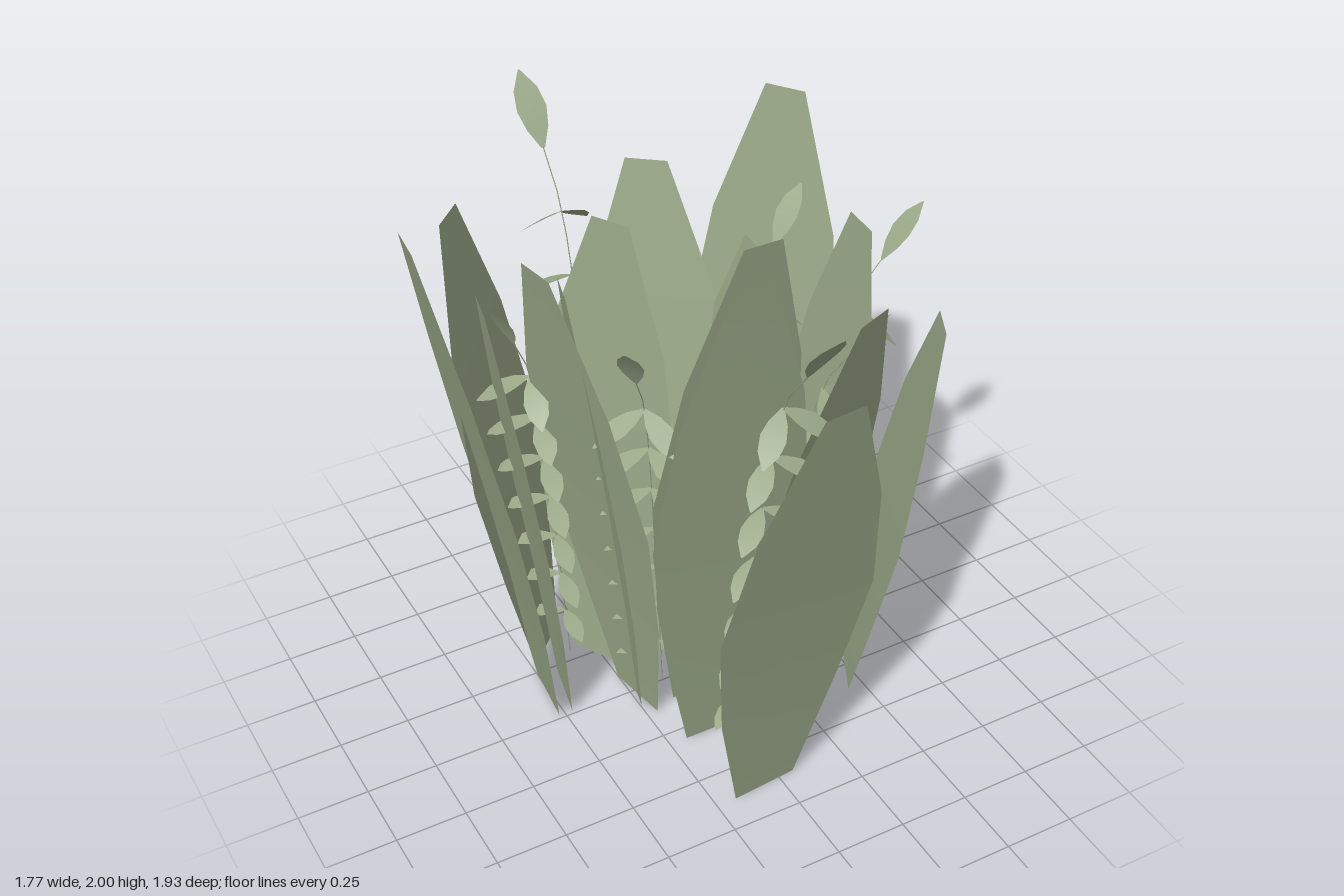
import * as THREE from 'three';

const material = new THREE.MeshStandardMaterial({ color: 0x9aa888, side: THREE.DoubleSide });

// Half-widths of a broad leaf at five heights
const PROFILE = [0.115, 0.22, 0.285, 0.22, 0.07];

// Broad leaf: base and tip [x, z], height, outward azimuth in degrees, width factor
const LEAVES = [
  // outer ring
  [[-0.06, 0.62], [-0.03, 0.95], 1.76, 5, 1.03],
  [[0.10, 0.33], [0.30, 0.585], 1.76, 22, 1.0],
  [[0.49, 0.26], [0.73, 0.35], 1.47, 64, 1.0],
  [[0.48, -0.22], [0.75, -0.20], 1.49, 82, 0.96],
  [[0.41, 0.0], [0.63, 0.0], 1.69, 86, 1.0],
  [[0.45, -0.41], [0.66, -0.54], 1.92, 125, 1.04],
  [[-0.40, -0.37], [-0.625, -0.44], 1.85, 225, 1.0],
  [[-0.51, -0.13], [-0.865, -0.19], 1.95, 264, 1.0],
  [[-0.45, -0.12], [-0.67, -0.12], 1.71, 258, 0.95],
  // inner ring
  [[-0.23, 0.02], [-0.53, -0.01], 1.845, 280, 1.0],
  [[-0.22, -0.02], [-0.45, 0.0], 1.77, 255, 0.95],
  [[-0.25, -0.22], [-0.15, -0.26], 1.78, 120, 1.0],
  [[-0.07, 0.30], [-0.09, 0.54], 1.97, 0, 1.0],
  [[-0.02, 0.10], [0.02, 0.40], 2.0, 0, 0.95],
  [[0.0, -0.05], [0.25, -0.03], 1.70, 88, 1.0],
  [[-0.03, -0.12], [0.07, -0.43], 1.86, 142, 1.0],
];

// Frond: base and tip [x, z], height of the tip
const FRONDS = [
  [[-0.06, 0.40], [-0.03, 0.89], 2.0],
  [[-0.12, -0.42], [-0.12, -0.95], 2.0],
  [[0.39, -0.03], [0.87, -0.03], 1.69],
  [[0.18, -0.18], [0.58, -0.32], 1.69],
  [[0.20, 0.17], [0.41, 0.47], 1.69],
  [[-0.12, 0.0], [-0.36, 0.25], 1.67],
  [[-0.34, -0.30], [-0.59, -0.19], 1.65],
];

function gridGeometry(rows) {
  const cols = rows[0].length, index = [];
  for (let r = 0; r < rows.length - 1; r++) {
    for (let c = 0; c < cols - 1; c++) {
      const a = r * cols + c, b = a + cols;
      index.push(a, a + 1, b, a + 1, b + 1, b);
    }
  }
  const g = new THREE.BufferGeometry().setFromPoints(rows.flat());
  g.setIndex(index);
  g.computeVertexNormals();
  return g;
}

// Tall tapering blade that leans outward as it rises
function broadLeaf([base, tip, height, azimuth, width]) {
  const a = THREE.MathUtils.degToRad(azimuth);
  const rows = PROFILE.map((half, i) => {
    const t = i / 4, s = Math.pow(t, 1.15);
    const x = THREE.MathUtils.lerp(base[0], tip[0], s);
    const z = THREE.MathUtils.lerp(base[1], tip[1], s);
    return [-1, 0, 1].map((u) => new THREE.Vector3(
      x + u * half * width * Math.cos(a), height * t,
      z - u * half * width * Math.sin(a)));
  });
  return new THREE.Mesh(gridGeometry(rows), material);
}

// Leaflet along +z with its face up, slightly drooping at the end
const leafletGeometry = gridGeometry([0.06, 0.36, 0.5, 0.4, 0.03].map((half, i) => {
  const t = i / 4;
  return [-1, 0, 1].map((u) => new THREE.Vector3(u * half * 0.4, -0.12 * t * t, t));
}));

function leaflet(name, position, direction, up, size) {
  const m = new THREE.Mesh(leafletGeometry, material);
  const z = direction.clone().normalize();
  const x = new THREE.Vector3().crossVectors(up, z).normalize();
  const y = new THREE.Vector3().crossVectors(z, x);
  m.quaternion.setFromRotationMatrix(new THREE.Matrix4().makeBasis(x, y, z));
  m.position.copy(position);
  m.scale.setScalar(size);
  m.name = name;
  return m;
}

// Hair-thin arching stem with paired leaflets and one at the tip
function frond([base, tip, height]) {
  const group = new THREE.Group();
  const out = new THREE.Vector3(tip[0] - base[0], 0, tip[1] - base[1]);
  const outDir = out.clone().normalize();
  const side = new THREE.Vector3(outDir.z, 0, -outDir.x);
  const at = (s, y) => new THREE.Vector3(base[0] + out.x * s, y * height, base[1] + out.z * s);
  const curve = new THREE.CatmullRomCurve3([at(0, 0), at(0.22, 0.45), at(0.5, 0.8), at(0.73, 0.885)]);

  const stem = new THREE.Mesh(new THREE.TubeGeometry(curve, 12, 0.002, 4), material);
  stem.name = 'stem';
  group.add(stem);

  const pairs = 7;
  for (let i = 0; i < pairs; i++) {
    const t = 0.14 + 0.74 * i / (pairs - 1);
    const p = curve.getPointAt(t);
    const tangent = curve.getTangentAt(t);
    // outward direction square to the stem, so upper leaflets hang down
    const normal = new THREE.Vector3().crossVectors(side, tangent);
    if (normal.dot(outDir) < 0) normal.negate();
    for (const sign of [-1, 1]) {
      const dir = side.clone().multiplyScalar(sign).addScaledVector(normal, 0.5 + 0.4 * t);
      dir.y -= 0.4 * t * t;
      group.add(leaflet('leaflet', p, dir, tangent, 0.15 + 0.06 * t));
    }
  }
  const end = at(0.73, 0.885);
  const tipDir = at(1, 1).sub(end);
  group.add(leaflet('tipLeaflet', end, tipDir, new THREE.Vector3(0, 1, 0), tipDir.length()));
  return group;
}

export function createModel() {
  const model = new THREE.Group();
  model.name = 'plantCluster';
  LEAVES.forEach((spec, i) => {
    const leaf = broadLeaf(spec);
    leaf.name = `broadLeaf${i + 1}`;
    model.add(leaf);
  });
  FRONDS.forEach((spec, i) => {
    const f = frond(spec);
    f.name = `frond${i + 1}`;
    model.add(f);
  });
  return model;
}
